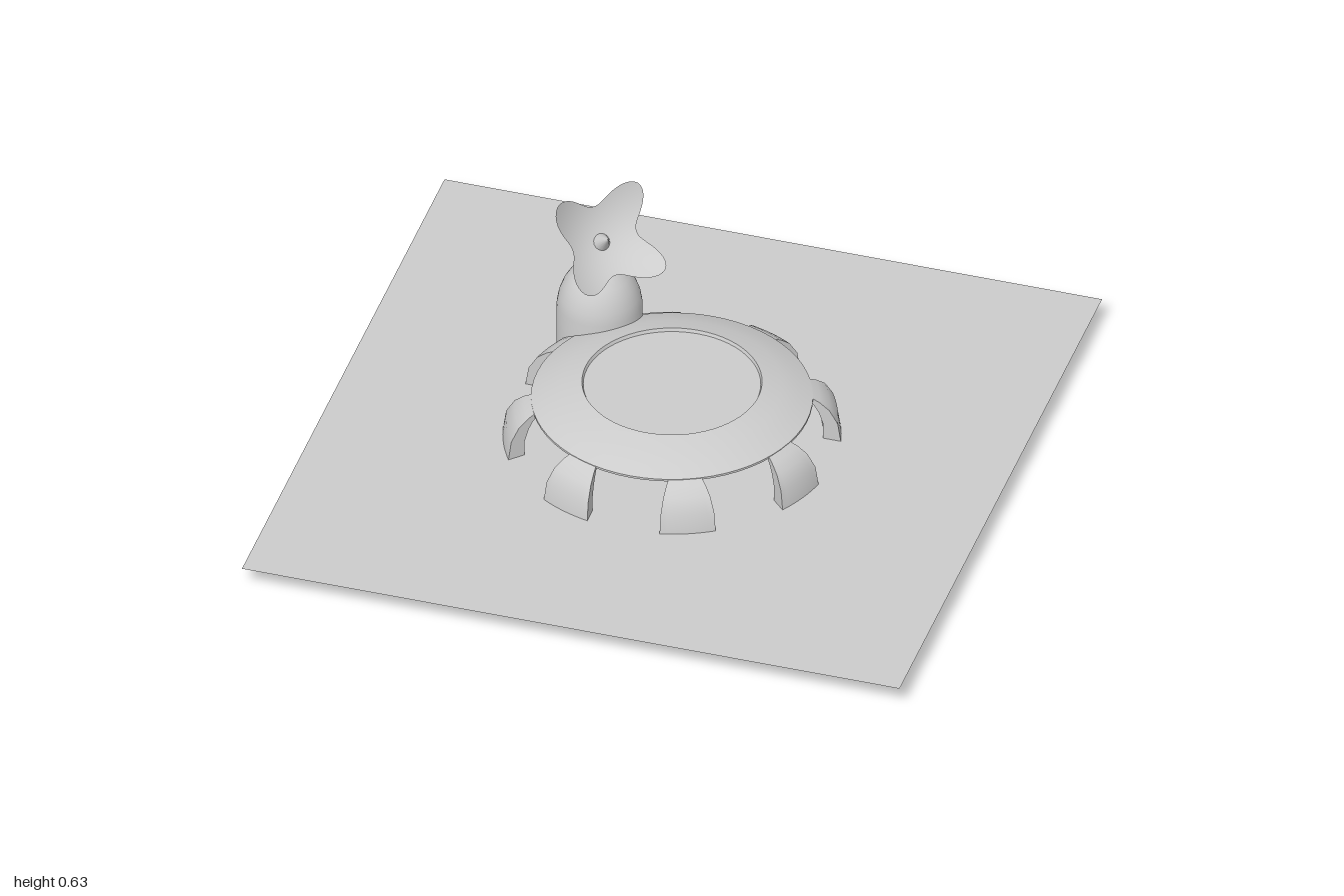
import * as THREE from 'three';
import { toCreasedNormals } from 'three/addons/utils/BufferGeometryUtils.js';
import { ParametricGeometry } from 'three/addons/geometries/ParametricGeometry.js';

const GROUND = 0.065;
const DOOR = 0.11; // half width of each opening
const grey = new THREE.MeshStandardMaterial({ color: 0xcccccc });
const greyThin = new THREE.MeshStandardMaterial({ color: 0xcccccc, side: THREE.DoubleSide });

function part(name, geometry, parent, material = grey) {
  const mesh = new THREE.Mesh(geometry, material);
  mesh.name = name;
  parent.add(mesh);
  return mesh;
}

function turned(points, segments) {
  const profile = points.map(([r, y]) => new THREE.Vector2(r, y));
  return toCreasedNormals(new THREE.LatheGeometry(profile, segments), 0.5);
}

// Curved leg between two parallel-sided openings, swept along its arc
function legGeometry() {
  const outer = [[0.4, 0.205], [0.43, 0.19], [0.458, 0.168], [0.483, 0.125], [0.492, GROUND]];
  const inner = [[0.4, 0.193], [0.415, 0.174], [0.428, 0.152], [0.44, 0.115], [0.44, GROUND]];
  const ring = [...outer, ...inner.slice().reverse()];
  const steps = 8, n = ring.length, positions = [];
  const point = ([r, y], j) => {
    const limit = Math.PI / 8 - Math.asin(DOOR / r);
    const a = limit * (2 * j / steps - 1);
    return [r * Math.sin(a), y, r * Math.cos(a)];
  };
  const quad = (a, b, c, d) => positions.push(...a, ...b, ...c, ...a, ...c, ...d);
  for (let i = 0; i < n; i++) {
    const p = ring[i], q = ring[(i + 1) % n];
    for (let j = 0; j < steps; j++) quad(point(p, j), point(q, j), point(q, j + 1), point(p, j + 1));
  }
  for (let i = 0; i < outer.length - 1; i++) {
    const side = [outer[i], outer[i + 1], inner[i + 1], inner[i]];
    quad(...side.map(p => point(p, steps)));
    quad(...side.map(p => point(p, 0)).reverse());
  }
  const geometry = new THREE.BufferGeometry();
  geometry.setAttribute('position', new THREE.Float32BufferAttribute(positions, 3));
  return toCreasedNormals(geometry, 0.6);
}

// Wedge below the ground, running out from the sunken floor
function rampGeometry() {
  const shape = new THREE.Shape([[0.42, 0], [0.44, 0], [0.608, GROUND], [0.42, GROUND]]
    .map(([x, y]) => new THREE.Vector2(x, y)));
  const geometry = new THREE.ExtrudeGeometry(shape, { depth: 2 * DOOR, bevelEnabled: false });
  return geometry.translate(0, 0, -DOOR);
}

// Bowl with four rounded horns and hollowed edges, opening along +y
function dishGeometry() {
  return new ParametricGeometry((u, v, target) => {
    const a = u * Math.PI * 2;
    const r = v * (0.105 + 0.082 * Math.pow(Math.abs(Math.sin(2 * a)), 2.5));
    target.set(r * Math.sin(a), 0.08 * (r / 0.187) ** 2, r * Math.cos(a));
  }, 96, 10);
}

export function createModel() {
  const model = new THREE.Group();
  model.name = 'domeBuilding';

  // Ground and sunken floor
  const ground = part('ground', new THREE.PlaneGeometry(2, 2), model, greyThin);
  ground.rotation.x = -Math.PI / 2;
  ground.position.y = GROUND;
  const floor = part('sunkenFloor', new THREE.CylinderGeometry(0.44, 0.44, GROUND - 0.001, 64), model);
  floor.position.y = (GROUND - 0.001) / 2;
  const ramp = rampGeometry();
  for (let i = 0; i < 4; i++) part('ramp', ramp, model).rotation.y = i * Math.PI / 2;

  // Roof with a shallow recess, carried on eight legs
  part('roof', turned([[0, 0.195], [0.41, 0.195], [0.41, 0.202], [0.37, 0.221], [0.32, 0.24],
    [0.262, 0.255], [0.258, 0.245], [0, 0.245]], 64), model);
  const leg = legGeometry();
  for (let i = 0; i < 8; i++) part('leg', leg, model).rotation.y = (i + 0.5) * Math.PI / 4;

  // Small marker inside the hall
  part('centreMarker', new THREE.ConeGeometry(0.03, 0.06, 20), model).position.y = 0.125;

  // Dish tower, turned to look over the roof
  const tower = new THREE.Group();
  tower.name = 'dishTower';
  tower.position.set(-0.318, 0, -0.318);
  tower.rotation.y = Math.PI / 4;
  model.add(tower);
  part('towerBody', turned([[0, 0], [0.125, 0], [0.125, 0.25], [0.119, 0.285], [0.106, 0.32],
    [0.088, 0.35], [0.066, 0.372], [0.05, 0.385], [0.036, 0.415], [0.02, 0.46], [0, 0.465]], 40), tower);
  const spike = part('rearSpike', new THREE.ConeGeometry(0.024, 0.09, 16), tower);
  spike.position.set(0, 0.38, -0.07);
  spike.rotation.x = 0.4;

  // Tilted dish with its receiver
  const dish = new THREE.Group();
  dish.name = 'dish';
  dish.position.set(0, 0.473, 0.012);
  dish.rotation.x = 0.863;
  tower.add(dish);
  part('dishBowl', dishGeometry(), dish, greyThin);
  part('receiver', new THREE.ConeGeometry(0.026, 0.06, 16), dish).position.y = 0.03;

  return model;
}
